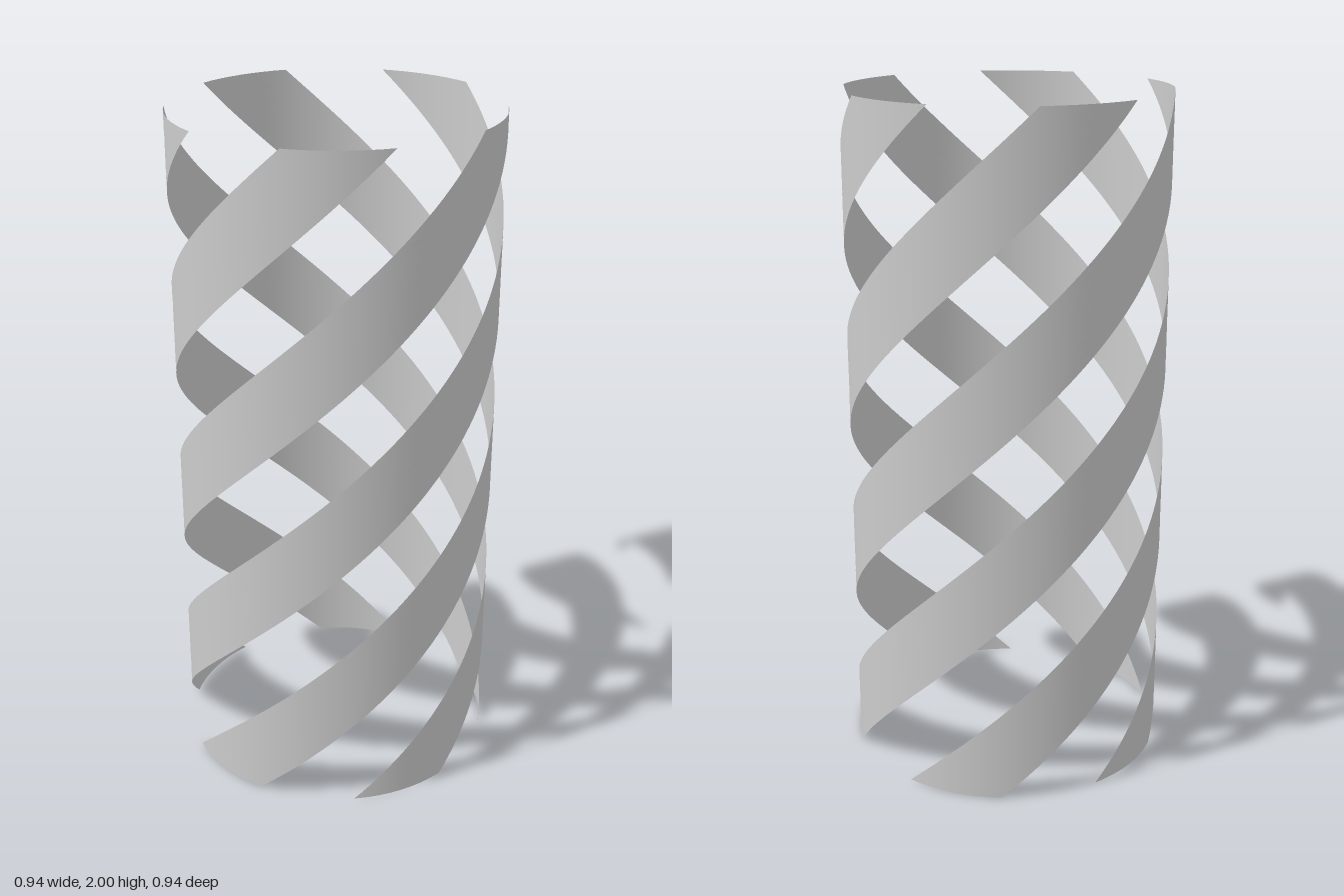
import * as THREE from 'three';

const RADIUS = 0.47, HEIGHT = 2, STRIPS = 5;
const WIDTH = THREE.MathUtils.degToRad(36);   // angle covered by one strip
const TWIST = THREE.MathUtils.degToRad(264);  // turn from bottom to top
const START = THREE.MathUtils.degToRad(-42);  // edge of the first strip at the bottom

// An open cylinder patch, turned about y in proportion to height
function helicalStrip(angle) {
  const geo = new THREE.CylinderGeometry(RADIUS, RADIUS, HEIGHT, 8, 96, true, angle, WIDTH);
  geo.translate(0, HEIGHT / 2, 0);
  const pos = geo.attributes.position, normal = geo.attributes.normal;
  for (let i = 0; i < pos.count; i++) {
    const a = Math.atan2(pos.getX(i), pos.getZ(i)) + TWIST * pos.getY(i) / HEIGHT;
    const s = Math.sin(a), c = Math.cos(a);
    pos.setXYZ(i, RADIUS * s, pos.getY(i), RADIUS * c);
    normal.setXYZ(i, s, 0, c);
  }
  return geo;
}

export function createModel() {
  const group = new THREE.Group();
  group.name = 'helicalLatticeTube';
  const material = new THREE.MeshStandardMaterial({ color: 0xcccccc, side: THREE.DoubleSide });

  // Five equal strips around the tube
  for (let k = 0; k < STRIPS; k++) {
    const strip = new THREE.Mesh(helicalStrip(START + k * 2 * Math.PI / STRIPS), material);
    strip.name = `helicalStrip${k + 1}`;
    group.add(strip);
  }
  return group;
}
